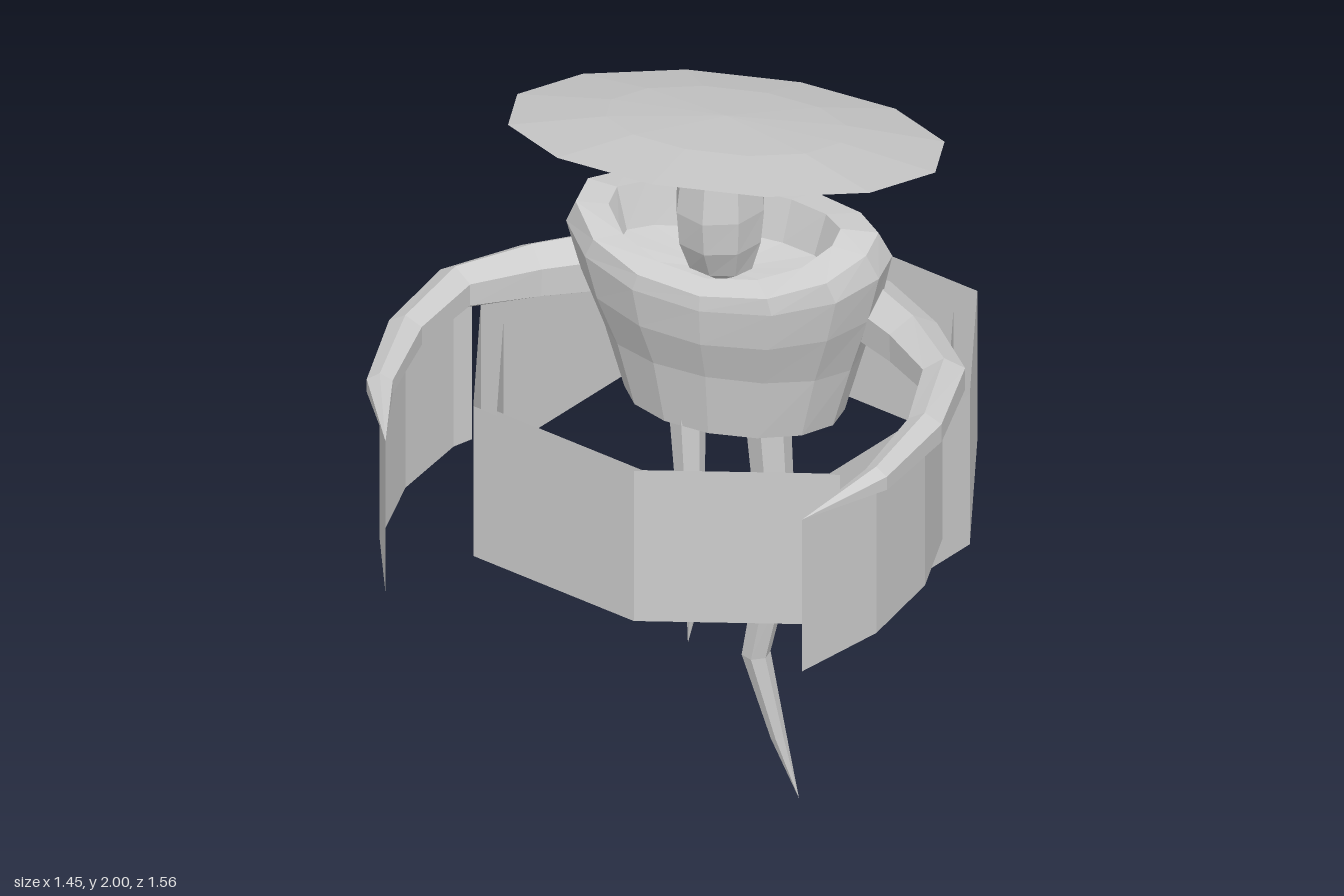
import * as THREE from 'three';

const gray = new THREE.MeshStandardMaterial({ color: 0xcccccc, flatShading: true, side: THREE.DoubleSide });
gray.name = 'plain gray';

function mesh(geometry, name) {
  const m = new THREE.Mesh(geometry, gray);
  m.name = name;
  return m;
}

// Skin over a list of point rings; rings of equal length
function loft(rings, closed = true) {
  const n = rings[0].length, pos = [], index = [];
  rings.forEach(r => r.forEach(p => pos.push(p.x, p.y, p.z)));
  for (let i = 0; i < rings.length - 1; i++) {
    for (let j = 0; j < (closed ? n : n - 1); j++) {
      const k = (j + 1) % n, a = i * n + j, b = i * n + k;
      index.push(a, b, b + n, a, b + n, a + n);
    }
  }
  const g = new THREE.BufferGeometry();
  g.setAttribute('position', new THREE.Float32BufferAttribute(pos, 3));
  g.setIndex(index);
  g.computeVertexNormals();
  return g;
}

// Tapering limb through [x, y, z, radius] stations
function limb(stations, sides = 6) {
  const pts = stations.map(s => new THREE.Vector3(s[0], s[1], s[2]));
  const rings = pts.map((p, i) => {
    const t = pts[Math.min(i + 1, pts.length - 1)].clone().sub(pts[Math.max(i - 1, 0)]).normalize();
    const ref = Math.abs(t.y) > 0.7 ? new THREE.Vector3(0, 0, 1) : new THREE.Vector3(0, 1, 0);
    const v = new THREE.Vector3().crossVectors(t, ref).normalize();
    const u = new THREE.Vector3().crossVectors(v, t);
    return Array.from({ length: sides }, (_, j) => {
      const a = j / sides * Math.PI * 2, r = stations[i][3];
      return p.clone().addScaledVector(u, r * Math.cos(a)).addScaledVector(v, r * Math.sin(a));
    });
  });
  return loft(rings);
}

// Oval ring: half width, front z, back z, height at back/sides, height at front
function oval([rx, zf, zb, y, yf = y], sides) {
  return Array.from({ length: sides }, (_, j) => {
    const a = j / sides * Math.PI * 2, c = Math.cos(a);
    const dip = Math.pow(Math.max(0, c), 1.3);
    return new THREE.Vector3(rx * Math.sin(a), y + (yf - y) * dip, (zf + zb) / 2 + (zf - zb) / 2 * c);
  });
}

// Upright sheet along [x, z] points
function sheet(path, y0, y1, closed) {
  return loft([y0, y1].map(y => path.map(([x, z]) => new THREE.Vector3(x, y, z))), closed);
}

export function createModel() {
  const model = new THREE.Group();
  model.name = 'figure';

  // Torso with a thick open collar that dips at the front
  model.add(mesh(loft([
    [0.28, -0.02, -0.39, 1.08],
    [0.33, 0.0, -0.40, 1.25],
    [0.385, 0.035, -0.395, 1.42, 1.36],
    [0.42, 0.045, -0.38, 1.56, 1.46],
    [0.39, 0.04, -0.345, 1.63, 1.50],
    [0.30, 0.0, -0.27, 1.64, 1.53],
    [0.27, -0.02, -0.24, 1.53, 1.49],
    [0, -0.12, -0.12, 1.49],
  ].map(r => oval(r, 14))), 'torso'));

  // Head
  model.add(mesh(loft([
    [0, -0.1, -0.1, 1.47],
    [0.085, -0.03, -0.17, 1.52],
    [0.108, 0.01, -0.21, 1.6],
    [0.115, 0.02, -0.23, 1.69],
    [0.105, 0.005, -0.225, 1.79],
    [0.07, -0.045, -0.17, 1.86],
    [0, -0.1, -0.1, 1.87],
  ].map(r => oval(r, 8))), 'head'));

  // Tilted shallow disc hat
  const tilt = z => 1.9 + 0.266 * z;
  const hatRing = (s, lift) => Array.from({ length: 12 }, (_, j) => {
    const a = j / 12 * Math.PI * 2;
    const z = -0.147 + 0.522 * s * Math.cos(a);
    return new THREE.Vector3(0.547 * s * Math.sin(a), tilt(z) + lift, z);
  });
  model.add(mesh(loft([hatRing(0, -0.035), hatRing(0.55, -0.025), hatRing(1, 0),
    hatRing(0.55, 0.035), hatRing(0, 0.05)]), 'hat'));

  // Eight-sided hoop around the waist, two thin open walls
  const hoop = r => [[0, 1], [0.75, 0.75], [1, 0], [0.75, -0.75], [0, -1], [-0.75, -0.75], [-1, 0], [-0.75, 0.75]]
    .map(([x, z]) => [x * r, z * r - 0.14]);
  model.add(mesh(sheet(hoop(0.64), 0.83, 1.255, true), 'outerHoop'));
  model.add(mesh(sheet(hoop(0.58), 0.85, 1.225, true), 'innerHoop'));

  // Arms with hanging sleeves
  for (const side of [1, -1]) {
    const arm = new THREE.Group();
    arm.name = side > 0 ? 'leftArm' : 'rightArm';
    arm.add(mesh(limb([
      [0.32, 1.38, -0.26, 0.085],
      [0.50, 1.385, -0.12, 0.075],
      [0.64, 1.395, 0.04, 0.06],
      [0.68, 1.39, 0.28, 0.05],
      [0.65, 1.385, 0.54, 0.037],
      [0.545, 1.38, 0.78, 0],
    ]), 'arm'));
    arm.add(mesh(sheet([[0.61, 0], [0.64, 0.05], [0.68, 0.28], [0.65, 0.54], [0.545, 0.78]], 0.95, 1.38, false), 'sleeve'));
    arm.scale.x = side;
    model.add(arm);
  }

  // Trailing legs
  const legs = {
    longLeg: [[0.1, 1.2, -0.15, 0.06], [0.125, 0.83, -0.15, 0.05], [0.115, 0.6, -0.15, 0.042],
      [0.075, 0.4, -0.155, 0.036], [0.13, 0.17, -0.165, 0.02], [0.182, 0, -0.17, 0]],
    shortLeg: [[-0.08, 1.2, -0.08, 0.05], [-0.06, 0.83, -0.06, 0.034], [-0.043, 0.63, -0.045, 0.024], [-0.068, 0.45, -0.06, 0]],
    stubLeg: [[0.05, 1.2, -0.22, 0.045], [0.08, 0.85, -0.22, 0.02], [0.09, 0.73, -0.23, 0]],
  };
  for (const [name, path] of Object.entries(legs)) model.add(mesh(limb(path.reverse()), name));

  return model;
}
